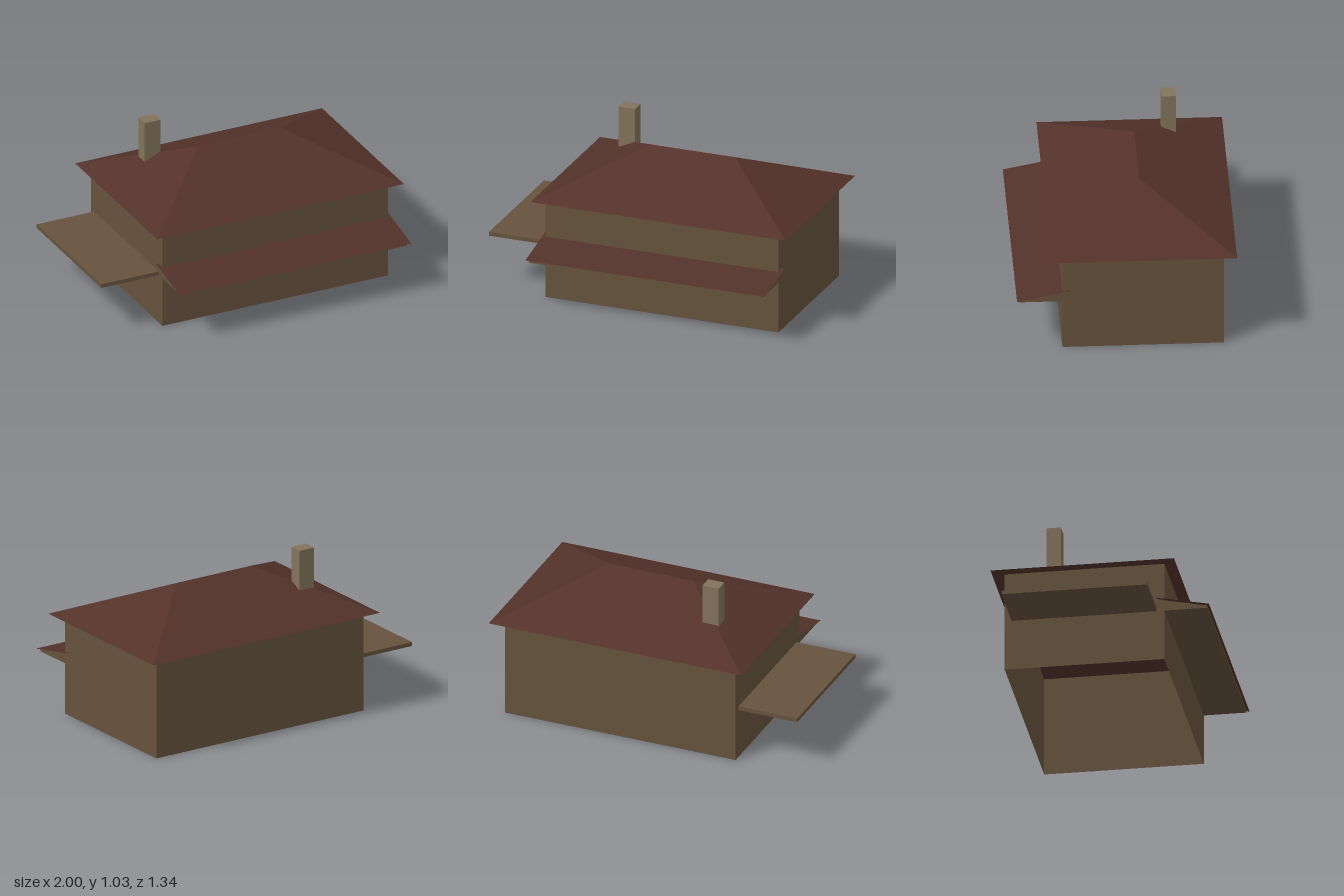
import * as THREE from 'three';

const mat = (name, color, side = THREE.FrontSide) => {
  const m = new THREE.MeshStandardMaterial({ color, side, flatShading: true });
  m.name = name;
  return m;
};

// Builds flat polygons (corners counter-clockwise from outside) from named points
function facesGeometry(points, faces) {
  const pos = [];
  for (const f of faces) {
    for (let i = 1; i < f.length - 1; i++) {
      pos.push(...points[f[0]], ...points[f[i]], ...points[f[i + 1]]);
    }
  }
  const g = new THREE.BufferGeometry();
  g.setAttribute('position', new THREE.Float32BufferAttribute(pos, 3));
  g.computeVertexNormals();
  return g;
}

// Box given by its minimum and maximum corners
function boxBetween([x0, y0, z0], [x1, y1, z1]) {
  return new THREE.BoxGeometry(x1 - x0, y1 - y0, z1 - z0)
    .translate((x0 + x1) / 2, (y0 + y1) / 2, (z0 + z1) / 2);
}

export function createModel() {
  const group = new THREE.Group();
  const wood = mat('wallBrown', 0x66523d);
  const wallWood = wood;
  wallWood.side = THREE.DoubleSide;
  const tiles = mat('roofRedBrown', 0x53322a, THREE.DoubleSide);
  const stone = mat('chimneyStone', 0x82735b);

  const add = (name, geometry, material) => {
    const mesh = new THREE.Mesh(geometry, material);
    mesh.name = name;
    group.add(mesh);
  };

  // Four walls, open at the top and bottom
  const walls = boxBetween([-0.61, 0, -0.595], [0.92, 0.64, 0.39]);
  const index = Array.from(walls.index.array);
  index.splice(12, 12);
  walls.setIndex(index);
  walls.clearGroups();
  add('walls', walls, wallWood);

  // Hipped roof with a flat underside
  const roofPoints = [
    [-0.68, 0.64, 0.46], [0.995, 0.64, 0.46], [0.995, 0.64, -0.672], [-0.68, 0.64, -0.672],
    [-0.12, 0.892, -0.105], [0.435, 0.892, -0.105],
  ];
  add('roof', facesGeometry(roofPoints, [
    [0, 1, 5, 4], [1, 2, 5], [2, 3, 4, 5], [3, 0, 4], [0, 3, 2, 1],
  ]), tiles);

  // Chimney through the back slope
  add('chimney', boxBetween([-0.4, 0.66, -0.37], [-0.293, 1.03, -0.282]), stone);

  // Flat side canopy
  add('sideCanopy', boxBetween([-1, 0.325, -0.552], [-0.61, 0.35, 0.342]), wood);

  // Wedge under the front awning, profile drawn in z and y
  const profile = new THREE.Shape([
    new THREE.Vector2(0.39, 0.325), new THREE.Vector2(0.654, 0.325),
    new THREE.Vector2(0.654, 0.341), new THREE.Vector2(0.39, 0.394),
  ]);
  const wedge = new THREE.ExtrudeGeometry(profile, { depth: 1.53, bevelEnabled: false })
    .rotateY(-Math.PI / 2).translate(0.92, 0, 0);
  add('awningSupport', wedge, wood);

  // Thin sloping awning sheet, its upper edge running through the wall
  add('frontAwning', facesGeometry([
    [-0.63, 0.342, 0.668], [0.943, 0.342, 0.668], [0.943, 0.406, 0.345], [-0.63, 0.406, 0.345],
  ], [[0, 1, 2, 3]]), tiles);

  return group;
}
